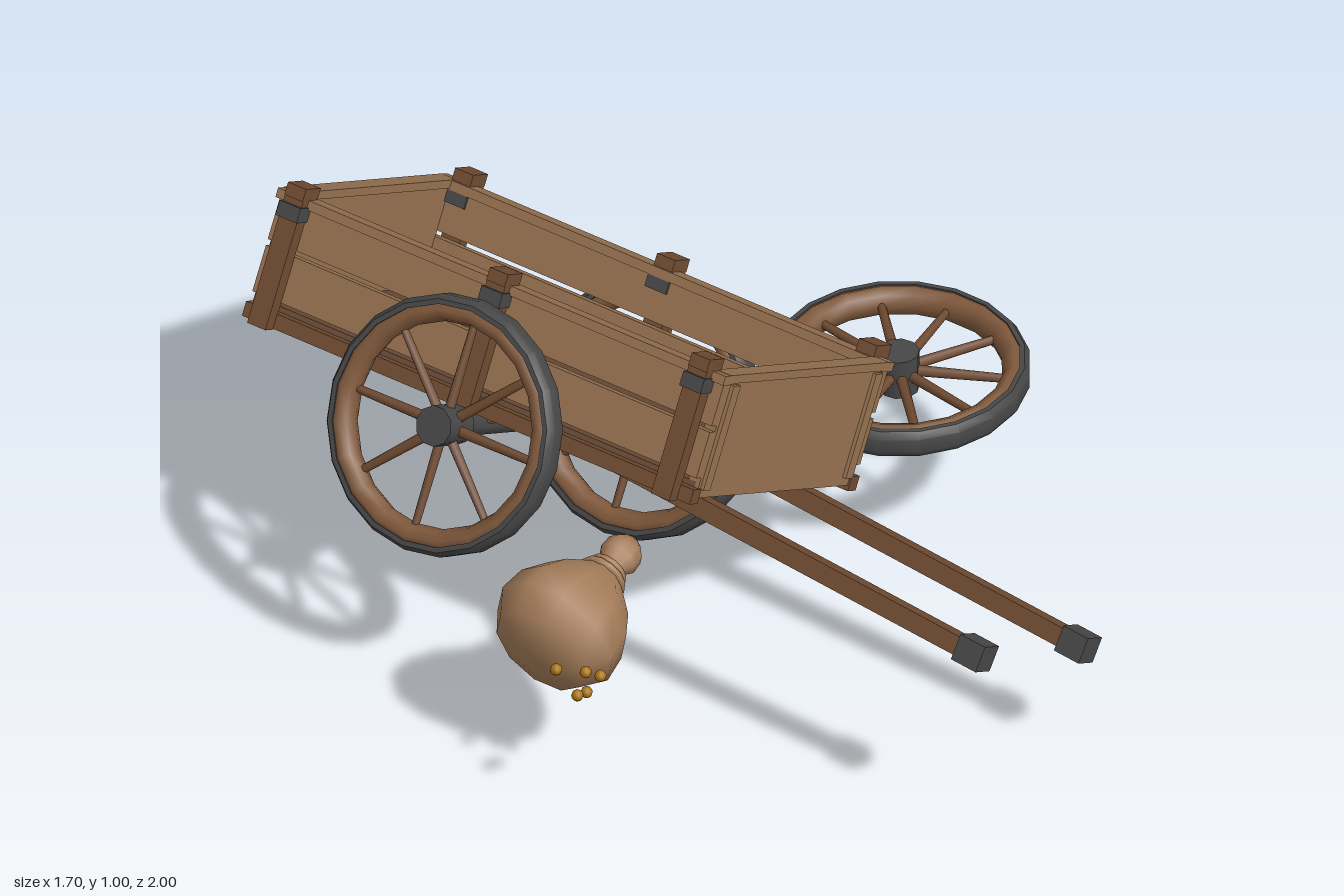
import * as THREE from 'three';
import { toCreasedNormals } from 'three/addons/utils/BufferGeometryUtils.js';

const mat = (name, color) => {
  const m = new THREE.MeshStandardMaterial({ color });
  m.name = name;
  return m;
};

export function createModel() {
  const plankWood = mat('plankWood', 0x96714f);
  const floorWood = mat('floorWood', 0x6b4c36);
  const darkWood = mat('darkWood', 0x704b32);
  const wheelWood = mat('wheelWood', 0x80593c);
  const iron = mat('iron', 0x474747);
  const burlap = mat('burlap', 0xa67e5b);
  const gold = mat('gold', 0xa87414);

  const add = (parent, name, geo, material, x = 0, y = 0, z = 0) => {
    const m = new THREE.Mesh(geo, material);
    m.name = name;
    m.position.set(x, y, z);
    parent.add(m);
    return m;
  };
  const box = (parent, name, material, w, h, d, x, y, z) =>
    add(parent, name, new THREE.BoxGeometry(w, h, d), material, x, y, z);

  const model = new THREE.Group();
  model.name = 'brokenCart';

  // Wheel with its axis along y: iron tyre, wooden rim, spokes and iron hub
  const makeWheel = (name, spokes) => {
    const wheel = new THREE.Group();
    wheel.name = name;
    const profile = [[0.274, -0.034], [0.286, -0.034], [0.297, -0.018], [0.297, 0.018],
      [0.286, 0.034], [0.274, 0.034], [0.274, -0.034]].map(p => new THREE.Vector2(...p));
    add(wheel, 'tyre', toCreasedNormals(new THREE.LatheGeometry(profile, 20), 0.6), iron);
    const rim = new THREE.TorusGeometry(0.262, 0.028, 8, 20).rotateX(Math.PI / 2).scale(1, 1.3, 1);
    add(wheel, 'rim', rim, wheelWood);
    add(wheel, 'hub', new THREE.CylinderGeometry(0.047, 0.047, 0.1, 10), iron);
    for (let i = 0; i < spokes; i++) {
      const spoke = new THREE.CylinderGeometry(0.01, 0.013, 0.22, 6)
        .rotateZ(-Math.PI / 2).translate(0.145, 0, 0).rotateY(i * 2 * Math.PI / spokes);
      add(wheel, 'spoke', spoke, darkWood);
    }
    return wheel;
  };

  // Tilted cart, with its axle at the group origin
  const cart = new THREE.Group();
  cart.name = 'cart';
  cart.position.set(-0.142, 0.488, -0.38);
  cart.rotation.z = -0.5;
  model.add(cart);

  box(cart, 'floor', floorWood, 0.68, 0.04, 1.2, 0, 0.06, 0);
  for (const s of [-1, 1]) {
    box(cart, 'endPanel', plankWood, 0.68, 0.285, 0.03, 0, 0.187, s * 0.595);
    box(cart, 'endRail', plankWood, 0.7, 0.02, 0.04, 0, 0.33, s * 0.595);
    box(cart, 'sill', darkWood, 0.035, 0.035, 1.23, s * 0.35, 0.05, 0);
    // Side wall
    box(cart, 'lowerPlank', plankWood, 0.025, 0.11, 1.22, s * 0.35, 0.148, 0);
    box(cart, 'upperPlank', plankWood, 0.025, 0.105, 1.22, s * 0.35, 0.27, 0);
    box(cart, 'topRail', plankWood, 0.045, 0.022, 1.23, s * 0.352, 0.328, 0);
    for (const z of [-0.555, 0, 0.555]) {
      box(cart, 'post', darkWood, 0.035, 0.33, 0.05, s * 0.382, 0.195, z);
      box(cart, 'postCap', darkWood, 0.065, 0.03, 0.05, s * 0.37, 0.352, z);
      box(cart, 'strap', iron, 0.078, 0.035, 0.058, s * 0.37, 0.305, z);
    }
    // Corner battens on the end panels
    for (const e of [-1, 1])
      box(cart, 'batten', plankWood, 0.03, 0.25, 0.012, s * 0.315, 0.19, e * 0.613);
    // Pulling shaft, rising towards the back through the floor
    const shaft = new THREE.Group();
    shaft.name = 'shaft';
    shaft.position.set(s * 0.228, 0.02, 0.415);
    shaft.rotation.x = 0.086;
    cart.add(shaft);
    box(shaft, 'shaftBar', darkWood, 0.044, 0.044, 1.86, 0, 0, 0);
    box(shaft, 'shaftCap', iron, 0.062, 0.062, 0.07, 0, 0, 0.933);
    // Mounted wheel
    const wheel = makeWheel('cartWheel', 8);
    wheel.position.x = s * 0.442;
    wheel.rotation.z = Math.PI / 2;
    cart.add(wheel);
  }
  add(cart, 'axle', new THREE.CylinderGeometry(0.03, 0.03, 0.86, 8).rotateZ(Math.PI / 2), iron);
  box(cart, 'axleBlock', darkWood, 0.6, 0.04, 0.07, 0, 0.03, 0);

  // Loose wheel lying flat
  const loose = makeWheel('looseWheel', 10);
  loose.position.set(0.555, 0.405, 0.1);
  loose.rotation.y = 0.15;
  model.add(loose);

  // Spilled sack lying on its side, with its axis along local y
  const sack = new THREE.Group();
  sack.name = 'sack';
  sack.position.set(-0.77, 0.37, 0.035);
  sack.rotation.z = -1.32;
  model.add(sack);
  const bag = [[0, 0], [0.06, 0.002], [0.12, 0.025], [0.158, 0.085], [0.15, 0.15], [0.115, 0.21],
    [0.06, 0.265], [0.03, 0.295], [0.028, 0.305], [0.048, 0.335], [0.046, 0.365], [0.025, 0.39], [0, 0.392]];
  add(sack, 'bag', new THREE.LatheGeometry(bag.map(p => new THREE.Vector2(...p)), 10), burlap);
  for (const [y, r] of [[0.277, 0.05], [0.295, 0.04]])
    add(sack, 'tie', new THREE.TorusGeometry(r, 0.01, 6, 12).rotateX(Math.PI / 2), burlap, 0, y, 0);

  // Spilled grains
  for (const [x, z] of [[-0.79, 0.11], [-0.76, 0.17], [-0.752, 0.205], [-0.82, 0.215], [-0.842, 0.205]])
    add(model, 'grain', new THREE.SphereGeometry(0.014, 8, 6), gold, x, 0.385, z);

  return model;
}
